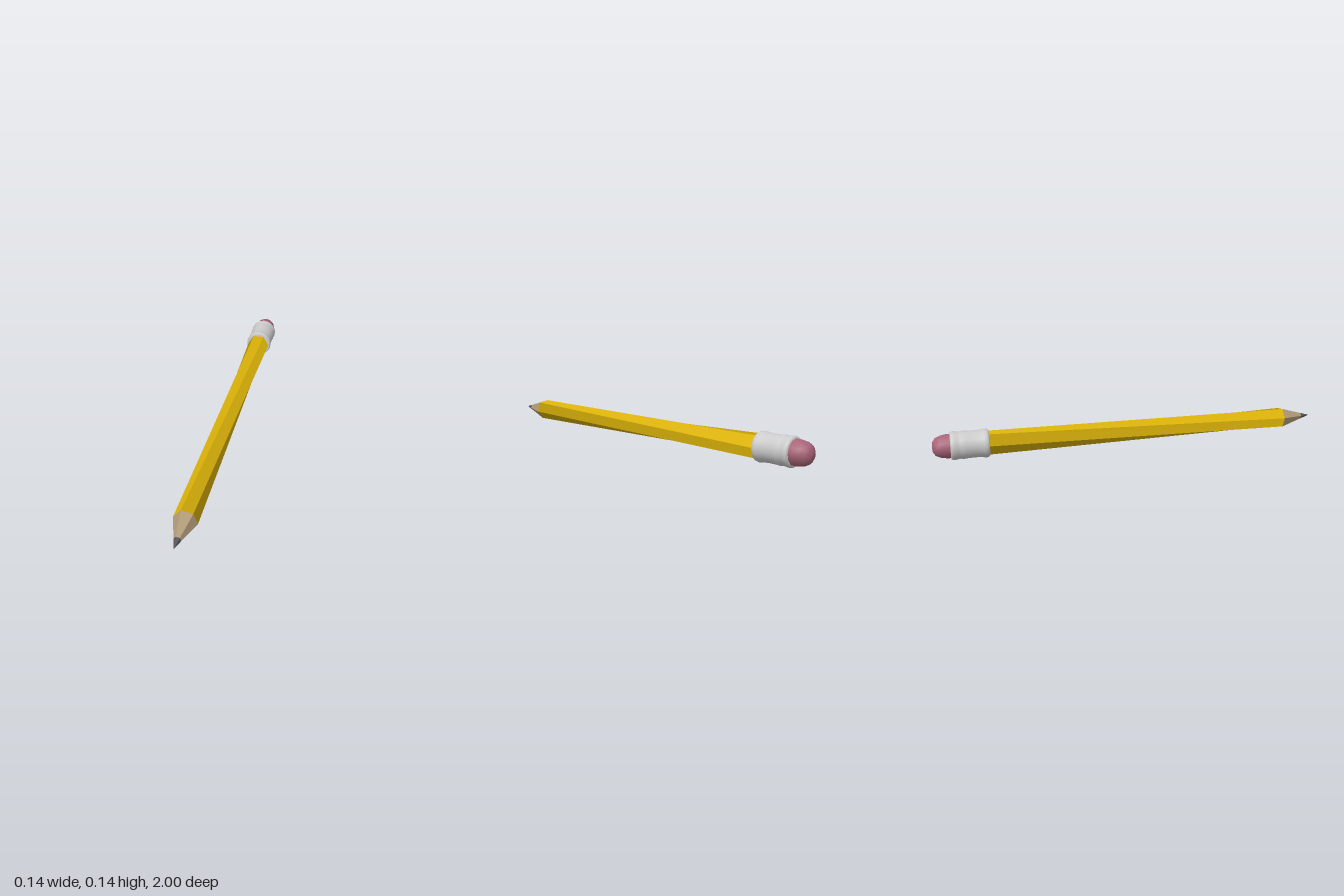
import * as THREE from 'three';

const CY = 0.072;                 // height of the pencil's axis
const FRONT = 0.83, BACK = -0.74; // ends of the wooden shaft
const deg = THREE.MathUtils.degToRad;

function part(name, geometry, color, flatShading = false) {
  const mesh = new THREE.Mesh(geometry, new THREE.MeshStandardMaterial({ color, flatShading }));
  mesh.name = name;
  mesh.position.y = CY;
  return mesh;
}

// Six-sided shaft whose long edges twist from front to back
function twistedShaft() {
  const positions = [], normals = [];
  const point = (r, angle, z) =>
    new THREE.Vector3(r * Math.cos(deg(angle)), r * Math.sin(deg(angle)), z);
  for (let i = 0; i < 6; i++) {
    const a = -10 + i * 60;
    const f0 = point(0.055, a, FRONT), f1 = point(0.055, a + 60, FRONT);
    const b0 = point(0.06, a - 50, BACK), b1 = point(0.06, a + 10, BACK);
    // one shared normal per side keeps each side evenly shaded
    const n = b1.clone().sub(f0).cross(f1.clone().sub(b0)).normalize();
    for (const p of [f0, b0, f1, b0, b1, f1]) {
      positions.push(...p.toArray());
      normals.push(...n.toArray());
    }
  }
  const g = new THREE.BufferGeometry();
  g.setAttribute('position', new THREE.Float32BufferAttribute(positions, 3));
  g.setAttribute('normal', new THREE.Float32BufferAttribute(normals, 3));
  return g;
}

// Six-sided taper along z, aligned with the front of the shaft
function taper(rTip, rBase, z0, z1) {
  return new THREE.CylinderGeometry(rTip, rBase, z1 - z0, 6, 1, false, deg(20))
    .rotateX(Math.PI / 2).translate(0, 0, (z0 + z1) / 2);
}

// Round part turned about the z axis from [radius, z] pairs
function turned(profile, sides) {
  return new THREE.LatheGeometry(profile.map(([r, z]) => new THREE.Vector2(r, z)), sides)
    .rotateX(Math.PI / 2);
}

export function createModel() {
  const group = new THREE.Group();
  group.name = 'pencil';

  group.add(part('shaft', twistedShaft(), 0xd9b008));
  group.add(part('sharpenedWood', taper(0.017, 0.055, FRONT, 0.948), 0xb09a78, true));
  group.add(part('lead', taper(0.001, 0.017, 0.948, 1), 0x555558, true));

  // Metal sleeve with a raised bead near each end
  group.add(part('ferrule', turned([
    [0.05, -0.915], [0.064, -0.915], [0.069, -0.907], [0.07, -0.895], [0.067, -0.88],
    [0.066, -0.868], [0.069, -0.855], [0.067, -0.84], [0.066, -0.8], [0.067, -0.77],
    [0.07, -0.757], [0.071, -0.745], [0.069, -0.735], [0.064, -0.731], [0.03, -0.731],
  ], 20), 0xcccccc));

  // Rounded rubber end
  group.add(part('eraser', turned([
    [0, -1], [0.025, -0.997], [0.043, -0.985], [0.054, -0.962], [0.06, -0.93], [0.06, -0.9],
  ], 12), 0xa86478));

  return group;
}
